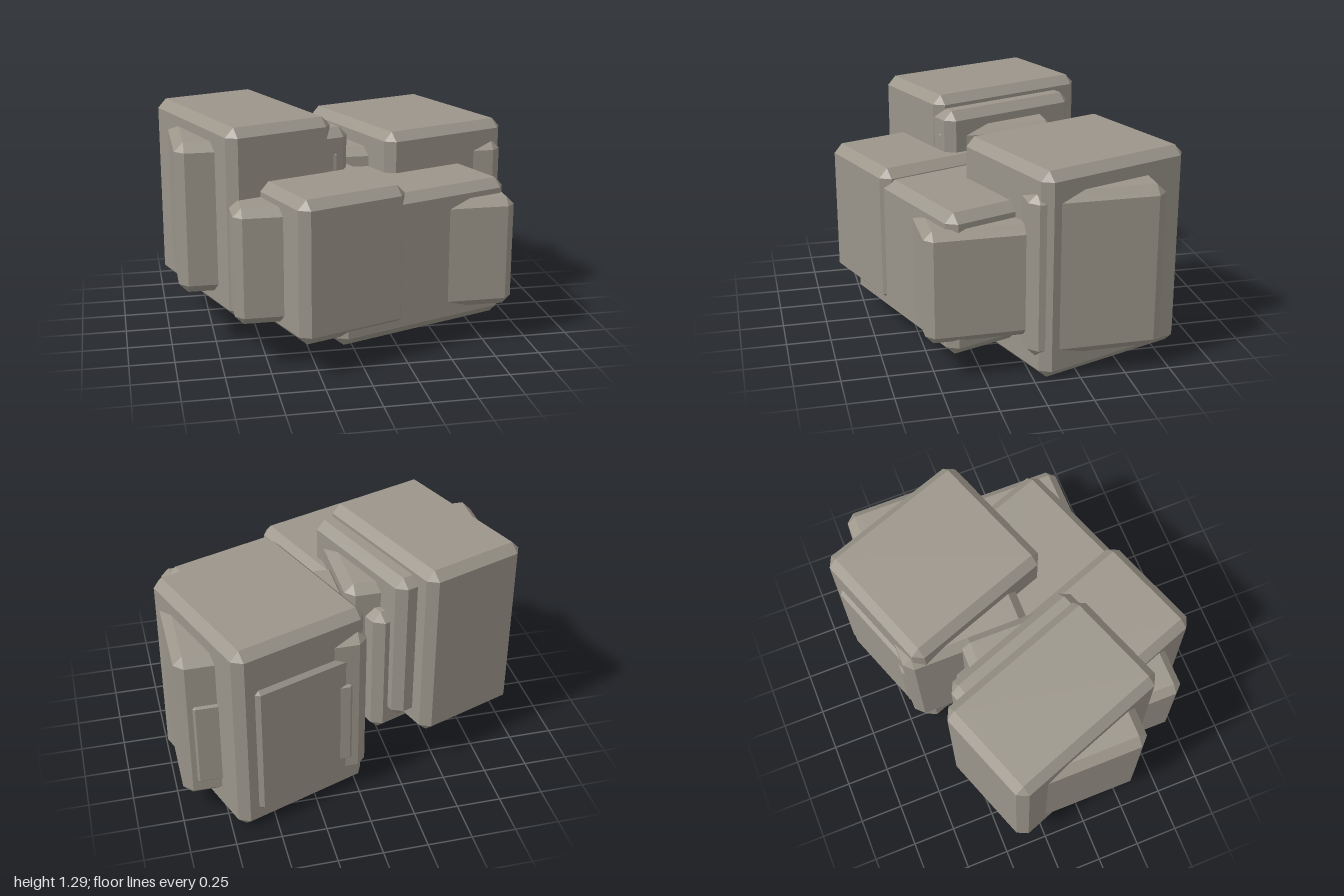
import * as THREE from 'three';
import { ConvexGeometry } from 'three/addons/geometries/ConvexGeometry.js';

const stone = new THREE.MeshStandardMaterial({ color: 0x9b958a });
stone.name = 'warm grey stone';

// Box with cut edges and corners, given by its [min, max] on each axis
function block(name, x, y, z, cut = 0.05) {
  const ranges = [x, y, z];
  const centre = ranges.map(([a, b]) => (a + b) / 2);
  const half = ranges.map(([a, b]) => (b - a) / 2);
  const points = [];
  for (const sx of [-1, 1]) for (const sy of [-1, 1]) for (const sz of [-1, 1]) {
    for (let full = 0; full < 3; full++) {
      const p = [sx, sy, sz].map((s, i) => s * (half[i] - (i === full ? 0 : cut)));
      points.push(new THREE.Vector3(...p));
    }
  }
  const mesh = new THREE.Mesh(new ConvexGeometry(points), stone);
  mesh.name = name;
  mesh.position.set(...centre);
  return mesh;
}

export function createModel() {
  const model = new THREE.Group();
  model.name = 'boulderCluster';

  // Main blocks, all turned by the same angle
  const turned = new THREE.Group();
  turned.name = 'turnedBlocks';
  turned.rotation.y = THREE.MathUtils.degToRad(20);
  turned.add(
    block('tallRightBlock', [-0.812, -0.175], [0.22, 1.29], [-0.727, 0.26]),
    block('steppedSlab', [-0.6, -0.063], [0.3, 1.22], [-0.606, 0.255]),
    block('frontBlock', [-0.635, 0.018], [0.19, 0.985], [-0.52, 0.722]),
    block('lowFrontBlock', [-0.4, 0.688], [0.13, 0.93], [-0.3, 0.705]),
    block('tallLeftBlock', [0.157, 0.967], [0, 1.16], [-0.62, 0.305]),
    block('backSlab', [0.19, 0.87], [0.1, 0.92], [-0.642, 0], 0.03)
  );
  model.add(turned);

  // Square-set blocks that jut out between them
  model.add(
    block('leftCrossBlock', [-0.05, 0.98], [0.12, 1.04], [-0.71, 0.03]),
    block('rearPlate', [0.02, 0.92], [0.21, 0.76], [-0.722, -0.2], 0.03),
    block('leftFrontCorner', [0.15, 0.9], [0.22, 0.85], [-0.3, 0.56], 0.045),
    block('rightFrontCorner', [-0.68, -0.3], [0.26, 0.905], [-0.2, 0.7], 0.045),
    block('rightSideBlock', [-0.95, -0.4], [0.33, 1.185], [-0.3, 0.35]),
    block('middleBlock', [-0.6, -0.012], [0.36, 1.125], [-0.38, 0.3])
  );
  return model;
}
